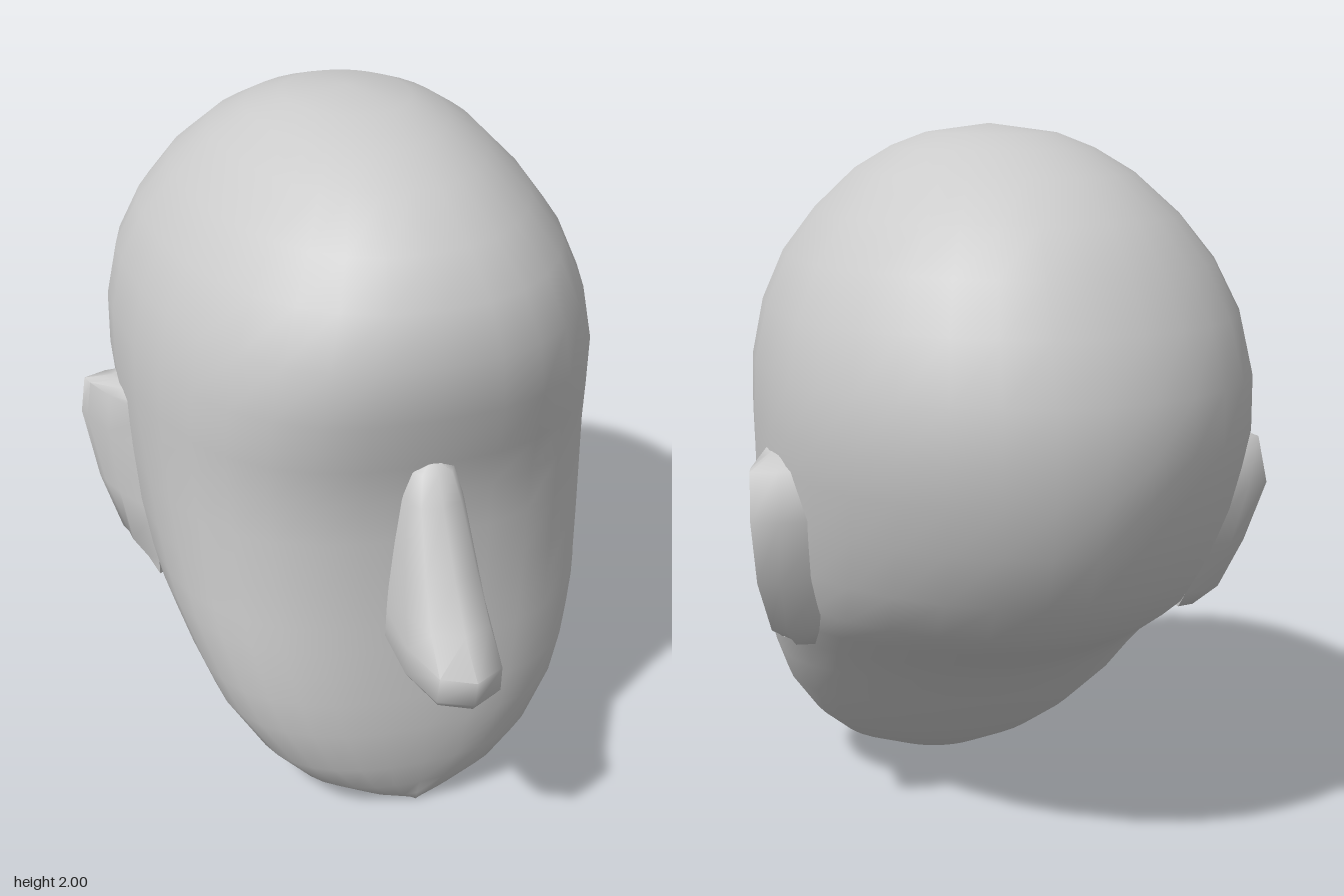
import * as THREE from 'three';
import { toCreasedNormals } from 'three/addons/utils/BufferGeometryUtils.js';

const material = new THREE.MeshStandardMaterial({ color: 0xcccccc });

// Skins a stack of horizontal rings (bottom to top) and closes both ends.
function loft(name, rings, crease) {
  const n = rings[0].length, pos = rings.flat(2), index = [];
  for (let i = 0; i < rings.length - 1; i++) {
    for (let j = 0; j < n; j++) {
      const a = i * n + j, b = i * n + (j + 1) % n;
      index.push(a, a + n, b, b, a + n, b + n);
    }
  }
  const top = (rings.length - 1) * n;
  for (let j = 1; j < n - 1; j++) {
    index.push(0, j, j + 1, top, top + j + 1, top + j);
  }
  const geo = new THREE.BufferGeometry();
  geo.setAttribute('position', new THREE.Float32BufferAttribute(pos, 3));
  geo.setIndex(index);
  const mesh = new THREE.Mesh(toCreasedNormals(geo, crease), material);
  mesh.name = name;
  return mesh;
}

// Head levels: y, front z, back z, half width, z of widest point, front and back roundness
const HEAD = [
  [0, 0.55, 0.33, 0, 0.44, 2, 2],
  [0.03, 0.56, 0.24, 0.18, 0.41, 2.1, 2],
  [0.09, 0.585, 0.12, 0.32, 0.37, 2.2, 2],
  [0.18, 0.61, -0.01, 0.42, 0.32, 2.3, 2],
  [0.32, 0.625, -0.17, 0.52, 0.23, 2.4, 1.95],
  [0.43, 0.622, -0.29, 0.565, 0.16, 2.5, 1.9],
  [0.52, 0.62, -0.44, 0.595, 0.1, 2.5, 1.8],
  [0.6, 0.617, -0.61, 0.62, 0.04, 2.5, 1.75],
  [0.68, 0.614, -0.76, 0.635, -0.02, 2.5, 1.75],
  [0.8, 0.612, -0.865, 0.65, -0.08, 2.5, 1.8],
  [0.95, 0.615, -0.94, 0.662, -0.14, 2.5, 1.9],
  [1.08, 0.623, -0.975, 0.67, -0.19, 2.5, 1.95],
  [1.19, 0.65, -0.99, 0.675, -0.23, 2.5, 2],
  [1.34, 0.69, -0.985, 0.67, -0.25, 2.5, 2],
  [1.5, 0.712, -0.925, 0.637, -0.25, 2.4, 2],
  [1.64, 0.67, -0.85, 0.575, -0.22, 2.3, 2],
  [1.76, 0.585, -0.76, 0.485, -0.19, 2.2, 2],
  [1.87, 0.44, -0.6, 0.375, -0.16, 2.1, 2],
  [1.935, 0.29, -0.46, 0.275, -0.14, 2, 2],
  [1.975, 0.11, -0.33, 0.18, -0.12, 2, 2],
  [2, -0.1, -0.1, 0, -0.1, 2, 2],
];

function headRing([y, front, back, w, mid, nFront, nBack]) {
  const ring = [], segments = 32;
  for (let j = 0; j < segments; j++) {
    const a = (j / segments) * Math.PI * 2;
    const c = Math.cos(a), s = Math.sin(a);
    const p = 2 / (s > 0 ? nFront : nBack);
    const reach = s > 0 ? front - mid : mid - back;
    ring.push([
      w * Math.sign(c) * Math.abs(c) ** p,
      y,
      mid + reach * Math.sign(s) * Math.abs(s) ** p,
    ]);
  }
  return ring;
}

// Nose levels: y, half width, z of the ridge
const NOSE = [
  [0.63, 0.112, 0.97], [0.65, 0.125, 0.985], [0.73, 0.121, 1],
  [0.81, 0.114, 0.905], [0.93, 0.1, 0.82], [1.1, 0.078, 0.72],
  [1.175, 0.058, 0.68], [1.21, 0, 0.635],
];

function noseRing([y, w, z]) {
  const at = (t) => 0.6 + (z - 0.6) * t;
  const half = [[w * 0.93, 0.5], [w, at(0.5)], [w * 0.72, at(0.88)]];
  const other = half.map(([x, d]) => [-x, d]).reverse();
  return [...half, [0, z], ...other].map(([x, d]) => [x, y, d]);
}

// Ear levels: y, x and z of the outer rim
const EAR = [
  [0.57, 0.605, -0.19], [0.625, 0.685, -0.24], [0.78, 0.735, -0.3],
  [0.97, 0.765, -0.375], [1.1, 0.755, -0.335], [1.13, 0.68, -0.27],
];

function earRing([y, x, z], side) {
  const ring = [
    [0.56, z - 0.04], [(x + 0.62) / 2, z - 0.03], [x, z], [x - 0.01, z + 0.04],
    [(x + 0.66) / 2, z * 0.5 - 0.03], [0.62, -0.02], [0.56, -0.06],
  ].map(([px, pz]) => [px * side, y, pz]);
  return side > 0 ? ring : ring.reverse();
}

export function createModel() {
  const model = new THREE.Group();
  model.name = 'mannequinHead';
  model.add(loft('head', HEAD.map(headRing), Math.PI));
  model.add(loft('nose', NOSE.map(noseRing), 1.1));
  for (const [name, side] of [['leftEar', 1], ['rightEar', -1]]) {
    model.add(loft(name, EAR.map((level) => earRing(level, side)), 1.1));
  }
  return model;
}
